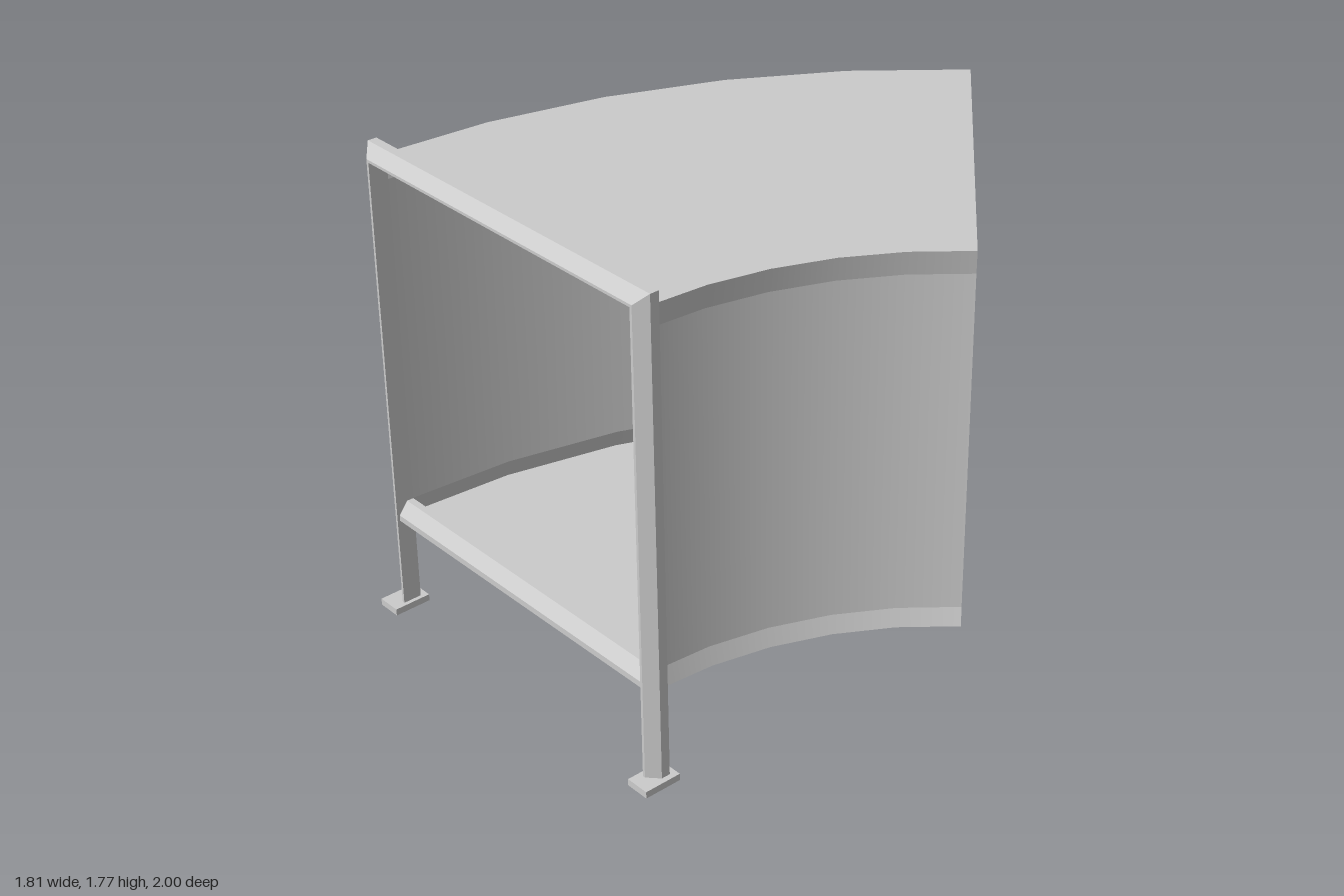
import * as THREE from 'three';

const material = new THREE.MeshStandardMaterial({ color: 0xcccccc, side: THREE.DoubleSide });

// Joins equal rings of points with flat-shaded quads
function loft(rings) {
  const pos = [];
  for (let k = 0; k < rings.length - 1; k++) {
    const n = rings[k].length;
    for (let i = 0; i < n; i++) {
      const j = (i + 1) % n;
      const a = rings[k][i], b = rings[k][j], c = rings[k + 1][j], d = rings[k + 1][i];
      pos.push(...a, ...b, ...c, ...a, ...c, ...d);
    }
  }
  const g = new THREE.BufferGeometry();
  g.setAttribute('position', new THREE.Float32BufferAttribute(pos, 3));
  g.computeVertexNormals();
  return g;
}

function add(parent, name, geometry) {
  const mesh = new THREE.Mesh(geometry, material);
  mesh.name = name;
  parent.add(mesh);
  return mesh;
}

export function createModel() {
  const model = new THREE.Group();
  model.name = 'curvedCorridor';

  // Curved passage: each side of the cross-section turned through 45 degrees
  const shell = new THREE.Group();
  shell.name = 'curvedShell';
  shell.position.set(1.852, 0, 0.915);
  model.add(shell);
  const rIn = 1.345, rOut = 2.707, flare = 0.016;
  const y0 = 0.365, y1 = 0.43, y2 = 1.645, y3 = 1.73;
  const section = [
    [rOut, y0], [rOut - flare, y1], [rOut - flare, y2], [rOut, y3],
    [rIn, y3], [rIn + flare, y2], [rIn + flare, y1], [rIn, y0],
  ];
  const names = ['outerSkirt', 'outerWall', 'outerCornice', 'roof',
    'innerCornice', 'innerWall', 'innerSkirt', 'floor'];
  names.forEach((name, i) => {
    const pts = [section[i], section[(i + 1) % section.length]].map(p => new THREE.Vector2(...p));
    add(shell, name, new THREE.LatheGeometry(pts, 5, Math.PI * 1.25, Math.PI / 4));
  });

  // Door frame: chamfered bar with mitred top corners; u runs inward from the outer edge
  const left = -0.885, right = 0.52, top = 1.775;
  const bar = [[0, 0.885], [0, 0.918], [0.04, 0.955], [0.05, 0.955], [0.05, 0.885]];
  add(model, 'doorFrame', loft([
    bar.map(([u, z]) => [left + u, 0.02, z]),
    bar.map(([u, z]) => [left + u, top - u, z]),
    bar.map(([u, z]) => [right - u, top - u, z]),
    bar.map(([u, z]) => [right - u, 0.02, z]),
  ]));

  // Threshold between the posts, sloped at the front
  const sill = [[0.43, 0.885], [0.43, 0.91], [0.385, 0.945], [0.363, 0.945], [0.363, 0.885]];
  add(model, 'threshold', loft([left + 0.04, right - 0.04].map(x => sill.map(([y, z]) => [x, y, z]))));

  // Foot plates
  for (const x of [-0.865, 0.495]) {
    add(model, 'footPlate', new THREE.BoxGeometry(0.09, 0.025, 0.14)).position.set(x, 0.0125, 0.93);
  }
  return model;
}
